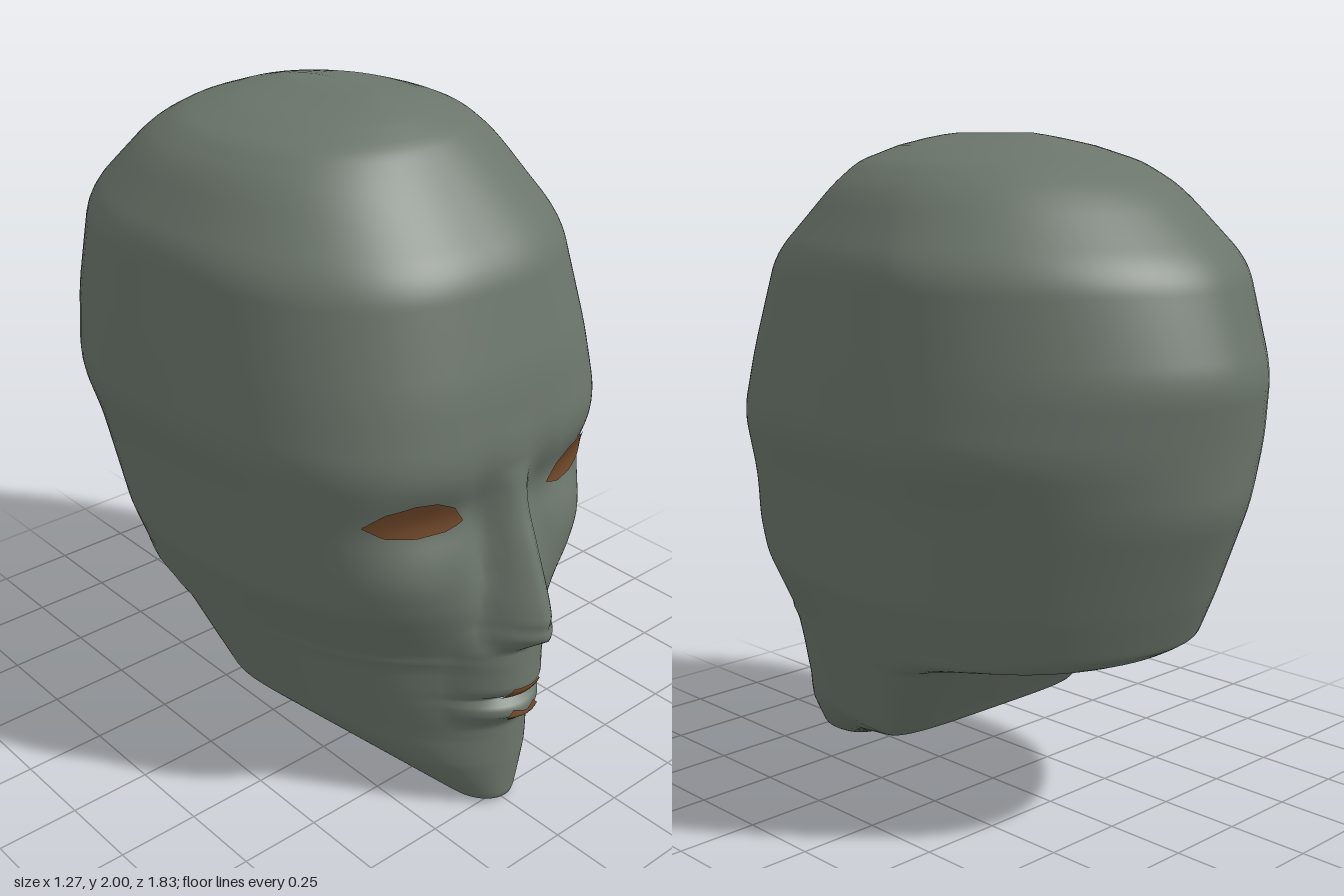
import * as THREE from 'three';

const headMat = new THREE.MeshStandardMaterial({ color: 0x6b756b });
headMat.name = 'grey green';
const brownMat = new THREE.MeshStandardMaterial({ color: 0x70482a });
brownMat.name = 'brown';

// Horizontal sections: height, front z, back z, half width, z of widest point,
// front roundness exponent, back roundness exponent
const SECTIONS = [
  [0.00, 0.76, 0.60, 0.07, 0.70, 2.0, 2.5],
  [0.015, 0.79, 0.54, 0.10, 0.66, 2.0, 2.5],
  [0.15, 0.795, 0.25, 0.27, 0.36, 1.9, 3.0],
  [0.24, 0.795, -0.01, 0.395, 0.08, 1.75, 4.0],
  [0.27, 0.795, -0.03, 0.41, 0.06, 1.75, 4.0],
  [0.49, 0.79, -0.19, 0.49, -0.02, 1.9, 3.5],
  [0.515, 0.79, -0.30, 0.50, -0.04, 1.95, 3.0],
  [0.53, 0.79, -0.42, 0.505, -0.05, 2.0, 2.5],
  [0.55, 0.79, -0.63, 0.512, -0.06, 2.0, 2.1],
  [0.59, 0.79, -0.70, 0.525, -0.07, 2.1, 1.9],
  [0.72, 0.785, -0.76, 0.57, -0.10, 2.45, 1.8],
  [1.00, 0.755, -0.875, 0.60, -0.20, 3.0, 1.7],
  [1.17, 0.77, -0.89, 0.64, -0.26, 3.0, 1.7],
  [1.36, 0.74, -0.915, 0.625, -0.24, 2.8, 1.7],
  [1.65, 0.66, -0.81, 0.60, -0.20, 2.5, 1.8],
  [1.85, 0.46, -0.585, 0.475, -0.10, 2.3, 1.9],
  [1.92, 0.39, -0.45, 0.39, -0.06, 2.2, 2.0],
  [1.965, 0.30, -0.32, 0.26, -0.02, 2.0, 2.0],
  [1.995, 0.20, -0.20, 0.10, 0.00, 2.0, 2.0],
  [2.00, 0.12, -0.14, 0.04, 0.00, 2.0, 2.0],
];
// Centre line bumps over the base face: [height, depth]
const NOSE = [[0.57, 0], [0.60, 0.06], [0.63, 0.115], [0.68, 0.128], [0.90, 0.07], [1.12, 0.004], [1.25, 0]];
const LIPS = [[0.29, 0], [0.325, 0.025], [0.35, 0.055], [0.38, 0.045], [0.395, 0.02], [0.41, 0.04],
  [0.44, 0.06], [0.57, 0.05], [0.66, 0]];

const clamp01 = (v) => Math.min(1, Math.max(0, v));

// Linear lookup in a table whose first column rises
function lookup(table, t, col = 1) {
  if (t <= table[0][0]) return table[0][col];
  for (let i = 1; i < table.length; i++) {
    const a = table[i - 1], b = table[i];
    if (t <= b[0]) return a[col] + (b[col] - a[col]) * (t - a[0]) / (b[0] - a[0]);
  }
  return table[table.length - 1][col];
}

// Section at a height, softened across the neighbouring heights
function section(y) {
  const h = 0.04 * clamp01((y - 0.6) / 0.3) * clamp01((1.95 - y) / 0.15) + 0.004;
  return [1, 2, 3, 4, 5, 6].map((col) => {
    let sum = 0;
    for (let k = -2; k <= 2; k++) sum += lookup(SECTIONS, y + k * h / 2, col);
    return sum / 5;
  });
}

const bell = (x, y, cx, cy, rx, ry) => Math.exp(-(((x - cx) / rx) ** 2) - ((y - cy) / ry) ** 2);

// Nose, lips, eye sockets and cheeks
function relief(x, y) {
  const ax = Math.abs(x);
  const noseWidth = 0.06 + 0.06 * clamp01((1.05 - y) / 0.4);
  const across = clamp01(1 - ax / noseWidth);
  let d = lookup(NOSE, y) * across * (1.6 - 0.6 * across);
  d += lookup(LIPS, y) * clamp01(1 - (ax / 0.18) ** 2);
  d -= 0.035 * bell(ax, y, 0.27, 1.0, 0.15, 0.085);
  d -= 0.03 * bell(ax, y, 0.11, 0.95, 0.05, 0.15);
  d -= 0.02 * bell(ax, y, 0.25, 0.55, 0.09, 0.16);
  d += 0.015 * bell(ax, y, 0.34, 0.82, 0.12, 0.08);
  d -= 0.02 * bell(ax, y, 0, 0.398, 0.14, 0.012);
  return d;
}

function frontZ(x, y, sec = section(y)) {
  const [front, , width, mid, e] = sec;
  const s = Math.min(1, Math.abs(x) / width);
  const curve = Math.pow(1 - Math.pow(s, e), 1 / e);
  return mid + (front - mid) * curve + relief(x, y) * clamp01((1 - s) * 4);
}

function meshFrom(name, pos, index, material) {
  const g = new THREE.BufferGeometry();
  g.setAttribute('position', new THREE.Float32BufferAttribute(pos, 3));
  g.setIndex(index);
  g.computeVertexNormals();
  const m = new THREE.Mesh(g, material);
  m.name = name;
  return m;
}

function buildHead() {
  const nFront = 96, nBack = 40, n = nFront + nBack;
  const rows = [0];
  for (let i = 1; i < SECTIONS.length; i++) {
    const a = SECTIONS[i - 1][0], b = SECTIONS[i][0];
    const steps = Math.max(2, Math.ceil((b - a) / 0.0125));
    for (let k = 1; k <= steps; k++) rows.push(a + (b - a) * k / steps);
  }
  const pos = [], index = [];
  for (const y of rows) {
    const sec = section(y);
    const [, back, width, mid, , e] = sec;
    for (let i = 0; i < n; i++) {
      if (i <= nFront) {
        const x = width * Math.sin(Math.PI * (i / nFront - 0.5));
        pos.push(x, y, frontZ(x, y, sec));
      } else {
        const s = Math.sin(Math.PI * (0.5 - (i - nFront) / nBack));
        pos.push(width * s, y, mid - (mid - back) * Math.pow(1 - Math.pow(Math.abs(s), e), 1 / e));
      }
    }
  }
  for (let j = 0; j < rows.length - 1; j++) {
    for (let i = 0; i < n; i++) {
      const a = j * n + i, b = j * n + (i + 1) % n;
      index.push(a, b, b + n, a, b + n, a + n);
    }
  }
  // Close the chin and the crown
  const last = (rows.length - 1) * n, base = pos.length / 3;
  pos.push(0, 0, 0.69, 0, 2, 0);
  for (let i = 0; i < n; i++) {
    const k = (i + 1) % n;
    index.push(base, k, i, base + 1, last + i, last + k);
  }
  return meshFrom('head', pos, index, headMat);
}

// Thin patch that follows the face between a lower and an upper outline
function patch(name, x0, x1, lower, upper) {
  const nx = 24, ny = 8, pos = [], index = [];
  for (let j = 0; j <= ny; j++) {
    for (let i = 0; i <= nx; i++) {
      const x = x0 + (x1 - x0) * i / nx;
      const lo = lookup(lower, Math.abs(x)), hi = lookup(upper, Math.abs(x));
      const y = lo + (hi - lo) * j / ny;
      pos.push(x, y, frontZ(x, y) + 0.006);
      if (i < nx && j < ny) {
        const a = j * (nx + 1) + i, d = a + nx + 1;
        index.push(a, a + 1, d + 1, a, d + 1, d);
      }
    }
  }
  return meshFrom(name, pos, index, brownMat);
}

export function createModel() {
  const model = new THREE.Group();
  model.name = 'headModel';
  model.add(buildHead());

  // Eyes
  const eyeLow = [[0.165, 0.99], [0.22, 0.972], [0.30, 0.967], [0.38, 0.98], [0.43, 1.015]];
  const eyeHigh = [[0.165, 0.995], [0.20, 1.045], [0.26, 1.075], [0.32, 1.08], [0.39, 1.06], [0.43, 1.02]];
  model.add(patch('leftEye', 0.165, 0.43, eyeLow, eyeHigh));
  model.add(patch('rightEye', -0.43, -0.165, eyeLow, eyeHigh));

  // Lips
  model.add(patch('upperLip', -0.075, 0.075, [[0, 0.412], [0.075, 0.408]], [[0, 0.45], [0.05, 0.45], [0.075, 0.412]]));
  model.add(patch('lowerLip', -0.06, 0.06, [[0, 0.318], [0.035, 0.322], [0.06, 0.345]], [[0, 0.36], [0.04, 0.372], [0.06, 0.35]]));
  return model;
}
